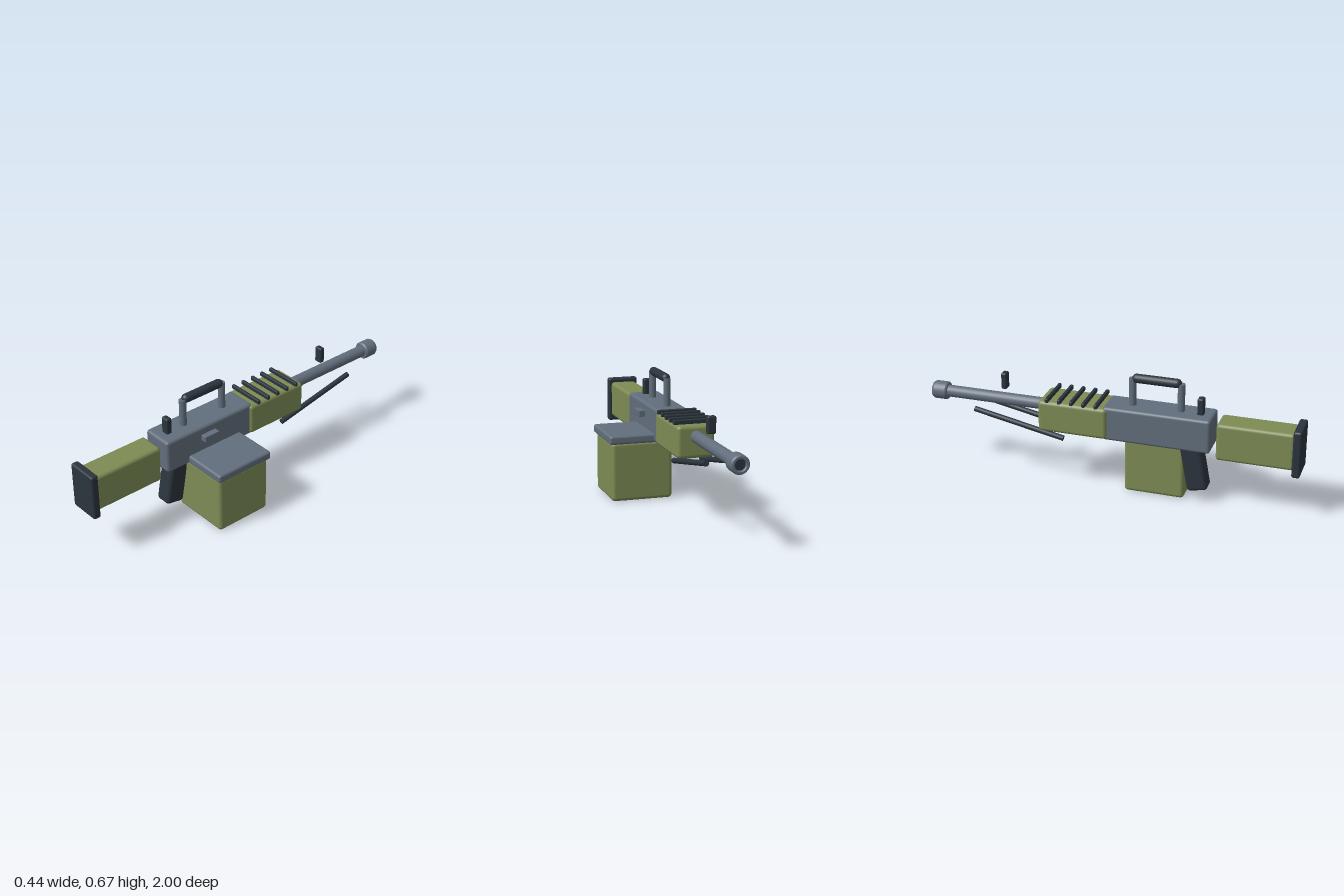
import * as THREE from 'three';
import { RoundedBoxGeometry } from 'three/addons/geometries/RoundedBoxGeometry.js';

const CX = -0.112; // centre line of the gun
const BORE = 0.433; // height of the barrel axis

function material(name, color) {
  const m = new THREE.MeshStandardMaterial({ color });
  m.name = name;
  return m;
}

export function createModel() {
  const group = new THREE.Group();
  const green = material('olive green', 0x7d8b54);
  const slate = material('slate metal', 0x626e7c);
  const dark = material('dark rubber', 0x2b343d);

  function add(name, geometry, mat, x = 0, y = 0, z = 0) {
    const mesh = new THREE.Mesh(geometry, mat);
    mesh.name = name;
    mesh.position.set(x, y, z);
    group.add(mesh);
    return mesh;
  }

  // Rounded box given by its extents
  function box(name, mat, [x0, x1], [y0, y1], [z0, z1], r) {
    const g = new RoundedBoxGeometry(x1 - x0, y1 - y0, z1 - z0, 3, r);
    return add(name, g, mat, (x0 + x1) / 2, (y0 + y1) / 2, (z0 + z1) / 2);
  }

  // Cylinder between two points
  function rod(name, mat, a, b, r) {
    const from = new THREE.Vector3(...a);
    const dir = new THREE.Vector3(...b).sub(from);
    const mesh = add(name, new THREE.CylinderGeometry(r, r, dir.length(), 20), mat);
    mesh.position.copy(from).addScaledVector(dir, 0.5);
    mesh.quaternion.setFromUnitVectors(new THREE.Vector3(0, 1, 0), dir.normalize());
    return mesh;
  }

  // Stock and butt plate
  box('buttPlate', dark, [-0.199, -0.025], [0.25, 0.503], [0.957, 1], 0.012);
  box('stock', green, [-0.184, -0.04], [0.28, 0.48], [0.565, 0.965], 0.018);

  // Receiver with charging handle
  box('receiver', slate, [-0.199, -0.025], [0.314, 0.497], [-0.03, 0.538], 0.016);
  box('chargingHandle', slate, [-0.04, 0.008], [0.42, 0.454], [0.224, 0.317], 0.003);

  // Hand guard with cooling ribs
  box('handGuard', green, [-0.212, -0.012], [0.32, 0.49], [-0.377, -0.004], 0.02);
  for (let i = 0; i < 5; i++) {
    const z = -0.06 - i * 0.066;
    box('coolingRib', dark, [-0.219, -0.005], [0.489, 0.513], [z - 0.009, z + 0.009], 0.005);
  }

  // Barrel and hollow muzzle
  rod('barrel', slate, [CX, BORE, -0.3], [CX, BORE, -0.95], 0.032);
  const profile = [
    [0.03, 0], [0.042, 0], [0.048, 0.008], [0.048, 0.072],
    [0.042, 0.083], [0.032, 0.083], [0.028, 0.079], [0.028, 0.05],
  ];
  // Doubled points keep the edges crisp
  const points = profile.flatMap(([r, y]) => [new THREE.Vector2(r, y), new THREE.Vector2(r, y + 1e-5)]);
  const muzzle = add('muzzle', new THREE.LatheGeometry(points, 32), slate, CX, BORE, -0.917);
  muzzle.rotation.x = -Math.PI / 2;
  const bore = add('muzzleBore', new THREE.CircleGeometry(0.0285, 24), dark, CX, BORE, -0.985);
  bore.rotation.y = Math.PI;

  // Sights
  box('frontSight', dark, [-0.135, -0.089], [0.494, 0.584], [-0.607, -0.576], 0.009);
  box('rearSight', dark, [-0.135, -0.089], [0.48, 0.584], [0.453, 0.486], 0.009);

  // Carrying handle
  for (const z of [0.109, 0.365]) {
    rod('handlePost', slate, [CX, 0.48, z], [CX, 0.645, z], 0.019);
  }
  const grip = add('handleGrip', new THREE.CapsuleGeometry(0.024, 0.212, 6, 20), dark, CX, 0.645, 0.236);
  grip.rotation.x = Math.PI / 2;

  // Ammunition box and lid
  box('ammoBox', green, [-0.131, 0.203], [0, 0.32], [0.068, 0.39], 0.02);
  box('ammoBoxLid', slate, [-0.143, 0.217], [0.313, 0.36], [0.056, 0.401], 0.013);

  // Raked pistol grip
  const pistol = box('pistolGrip', dark, [-0.158, -0.064], [0.07, 0.33], [0.39, 0.5], 0.02);
  pistol.rotation.x = -0.18;

  // Folded bipod legs
  for (const side of [-1, 1]) {
    const x = CX + side * 0.075;
    rod('bipodLeg', dark, [x, 0.285, -0.245], [x, 0.386, -0.738], 0.0145);
  }

  return group;
}
